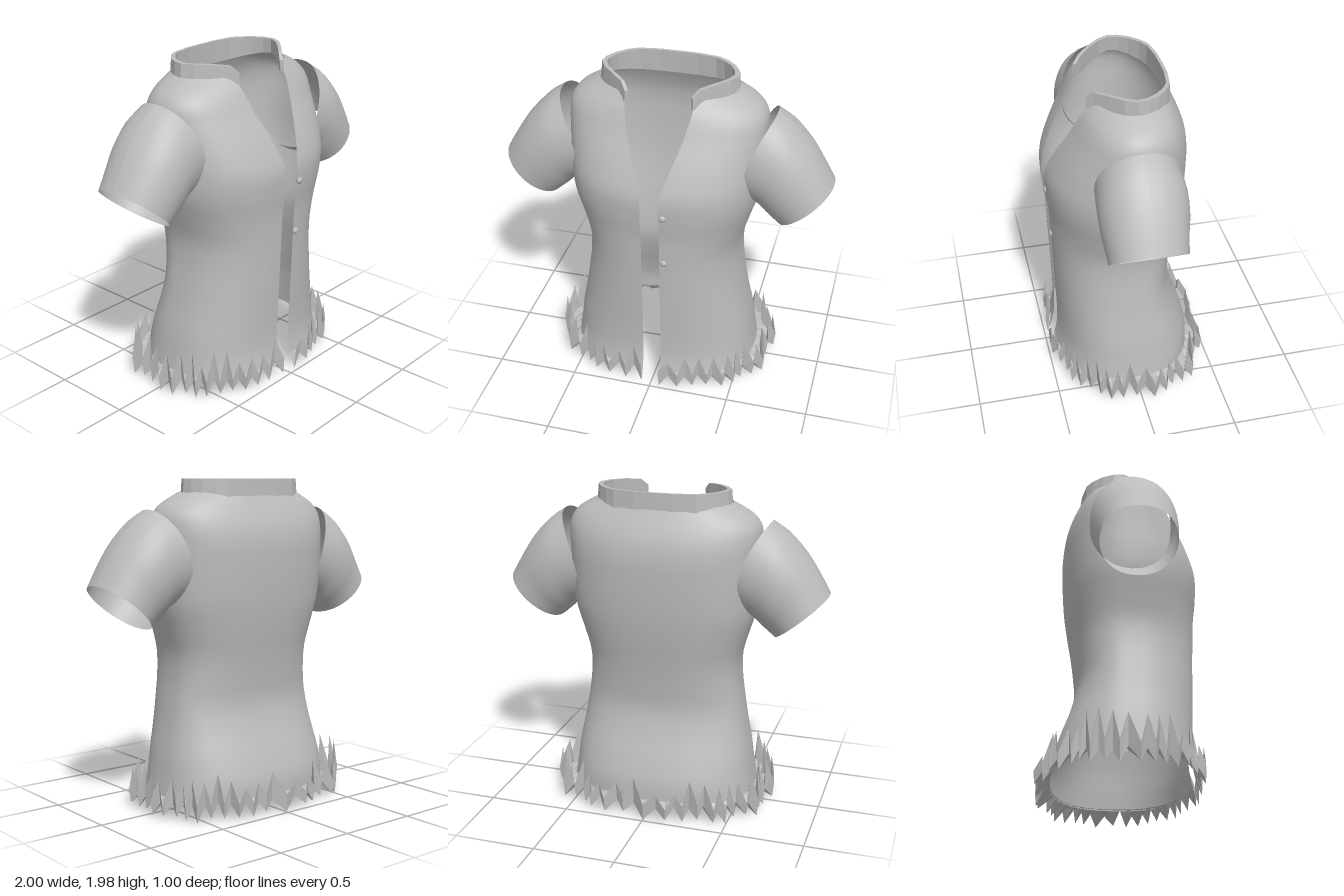
import * as THREE from 'three';

const cloth = new THREE.MeshStandardMaterial({ color: 0xbcbcbc, side: THREE.DoubleSide });
cloth.name = 'grey cloth';

// Surface through rows of points, front faces along (column direction x row direction)
function grid(name, rows, flat = false) {
  const n = rows[0].length, index = [];
  for (let r = 0; r < rows.length - 1; r++) {
    for (let c = 0; c < n - 1; c++) {
      const a = r * n + c, b = a + 1, d = a + n, e = d + 1;
      index.push(a, b, e, a, e, d);
    }
  }
  let geo = new THREE.BufferGeometry();
  geo.setAttribute('position', new THREE.Float32BufferAttribute(rows.flat(2), 3));
  geo.setIndex(index);
  if (flat) geo = geo.toNonIndexed();
  geo.computeVertexNormals();
  const mesh = new THREE.Mesh(geo, cloth);
  mesh.name = name;
  return mesh;
}

// Point on a horizontal body outline with a front opening of half-width g, t from 0 to 1
function outline(t, a, zf, zb, g, e) {
  const t0 = Math.asin(Math.pow(g / a, 1 / e));
  const th = t0 + t * (2 * Math.PI - 2 * t0);
  const s = Math.sin(th), c = Math.cos(th);
  const p = c > 0 ? e : 0.82;
  return [a * Math.sign(s) * Math.pow(Math.abs(s), p),
    (c > 0 ? zf : zb) * Math.pow(Math.abs(c), p)];
}

function createBody() {
  // height, half-width, front z, back z, opening half-width, front squareness
  const sections = [
    [0.10, 0.585, 0.45, -0.41, 0.055, 0.82],
    [0.20, 0.57, 0.43, -0.405, 0.055, 0.82],
    [0.35, 0.55, 0.425, -0.36, 0.055, 0.82],
    [0.50, 0.52, 0.43, -0.305, 0.055, 0.82],
    [0.65, 0.495, 0.435, -0.27, 0.055, 0.82],
    [0.80, 0.475, 0.44, -0.28, 0.055, 0.82],
    [0.95, 0.475, 0.445, -0.30, 0.055, 0.82],
    [1.10, 0.515, 0.45, -0.325, 0.055, 0.82],
    [1.25, 0.56, 0.465, -0.345, 0.055, 0.82],
    [1.38, 0.575, 0.465, -0.355, 0.056, 0.82],
    [1.50, 0.58, 0.425, -0.36, 0.09, 0.82],
    [1.60, 0.585, 0.38, -0.36, 0.125, 0.84],
    [1.70, 0.59, 0.33, -0.345, 0.16, 0.88],
    [1.78, 0.58, 0.295, -0.315, 0.18, 0.92],
    [1.84, 0.535, 0.27, -0.285, 0.195, 1],
    [1.88, 0.47, 0.25, -0.265, 0.2, 1.08],
    [1.91, 0.41, 0.235, -0.25, 0.2, 1.12],
  ];
  const curve = new THREE.CubicInterpolant(
    sections.map(s => s[0]), sections.flatMap(s => s.slice(1)), 5);
  const rows = [], R = 52, N = 84;
  for (let r = 0; r <= R; r++) {
    const y = 0.10 + 1.81 * (1 - Math.pow(1 - r / R, 1.4));
    const [a, zf, zb, g, e] = curve.evaluate(y);
    const row = [];
    for (let c = 0; c <= N; c++) {
      const [x, z] = outline(c / N, a, zf, zb, g, e);
      row.push([x, y, z]);
    }
    rows.push(row);
  }
  return grid('shirtBody', rows);
}

// Short flared sleeve, side = 1 for left and -1 for right
function createSleeve(side) {
  // top x, top y, bottom x, bottom y, half-depth, centre z
  const stations = [
    [0.645, 1.812, 0.50, 1.27, 0.245, 0.01],
    [0.735, 1.75, 0.57, 1.225, 0.255, 0.012],
    [0.845, 1.635, 0.61, 1.185, 0.25, 0.015],
    [0.93, 1.51, 0.65, 1.15, 0.235, 0.02],
    [1.0, 1.39, 0.685, 1.12, 0.225, 0.02],
  ];
  const curve = new THREE.CubicInterpolant([0, 1, 2, 3, 4], stations.flat(), 6);
  const rows = [], R = 12, N = 36;
  for (let r = 0; r <= R; r++) {
    const u = 4 * r / R;
    const [tx, ty, bx, by, hz, cz] = curve.evaluate(u);
    const row = [];
    for (let c = 0; c <= N; c++) {
      const phi = c / N * Math.PI * 2, sn = Math.sin(phi);
      const k = (1 + Math.cos(phi)) / 2;
      const tuck = 0.06 * sn * sn * Math.max(0, 1 - u);
      const depth = hz * Math.sign(sn) * Math.pow(Math.abs(sn), 0.9);
      row.push([side * (bx + (tx - bx) * k - tuck), by + (ty - by) * k, cz + side * depth]);
    }
    rows.push(row);
  }
  return grid(side > 0 ? 'leftSleeve' : 'rightSleeve', rows);
}

function createCollar() {
  // x, z, bottom y, top y along the left half, from front end to centre back
  const half = [
    [0.20, 0.235, 1.87, 1.935], [0.235, 0.195, 1.86, 1.975], [0.31, 0.125, 1.875, 1.985],
    [0.38, 0.05, 1.89, 1.988], [0.415, -0.02, 1.9, 1.988], [0.405, -0.08, 1.895, 1.988],
    [0.37, -0.145, 1.88, 1.988], [0.31, -0.205, 1.865, 1.988], [0.25, -0.24, 1.855, 1.988],
    [0.12, -0.26, 1.85, 1.988], [0, -0.262, 1.85, 1.988],
  ];
  const path = [...half, ...half.slice(0, -1).reverse().map(([x, z, b, t]) => [-x, z, b, t])];
  const profile = [[0, 0], [0, 1], [1, 1], [1, 0], [0, 0]];
  const rows = profile.map(([inner, up]) => path.map(([x, z, b, t]) => {
    const k = 1 - (inner ? 0.07 : 0) - (up ? 0.02 : 0);
    return [x * k, up ? t : b, z * k];
  }));
  // close both ends
  for (const row of rows) {
    const [x, z, b, t] = path[0];
    row.unshift([x * 0.955, (b + t) / 2, z * 0.955]);
    row.push([-x * 0.955, (b + t) / 2, z * 0.955]);
  }
  return grid('collar', rows, true);
}

// Ragged, pleated strip around the hem
function createFringe() {
  let seed = 7;
  const rand = () => (seed = (seed * 16807) % 2147483647) / 2147483647;
  const N = 84, hem = [], low = [], high = [];
  for (let i = 0; i <= N; i++) {
    const t = i / N, odd = i % 2;
    const wave = 0.022 * Math.sin(t * Math.PI * 24) + (odd ? -0.02 : 0.01);
    const [hx, hz] = outline(t, 0.58, 0.445, -0.405, 0.055, 0.85);
    const [x, z] = outline(t, 0.67 + wave, 0.475 + wave * 0.6, -0.475 - wave, 0.055, 0.85);
    const spike = Math.abs(x) > 0.4 ? 0.22 : 0.17;
    hem.push([hx, 0.11, hz]);
    low.push([x, odd ? 0.08 + 0.04 * rand() : 0.005 + 0.03 * rand(), z]);
    high.push([x * 1.015, odd ? spike + 0.11 * rand() : 0.10 + 0.04 * rand(), z * 1.015]);
  }
  return grid('raggedHem', [hem, low, high], true);
}

export function createModel() {
  const shirt = new THREE.Group();
  shirt.name = 'shirt';
  shirt.add(createBody(), createSleeve(1), createSleeve(-1), createCollar(), createFringe());
  // Two small buttons on the left front edge
  for (const [y, z] of [[1.27, 0.462], [0.94, 0.44]]) {
    const button = new THREE.Mesh(new THREE.SphereGeometry(0.022, 14, 10), cloth);
    button.name = 'button';
    button.position.set(0.08, y, z);
    button.scale.z = 0.75;
    shirt.add(button);
  }
  return shirt;
}
